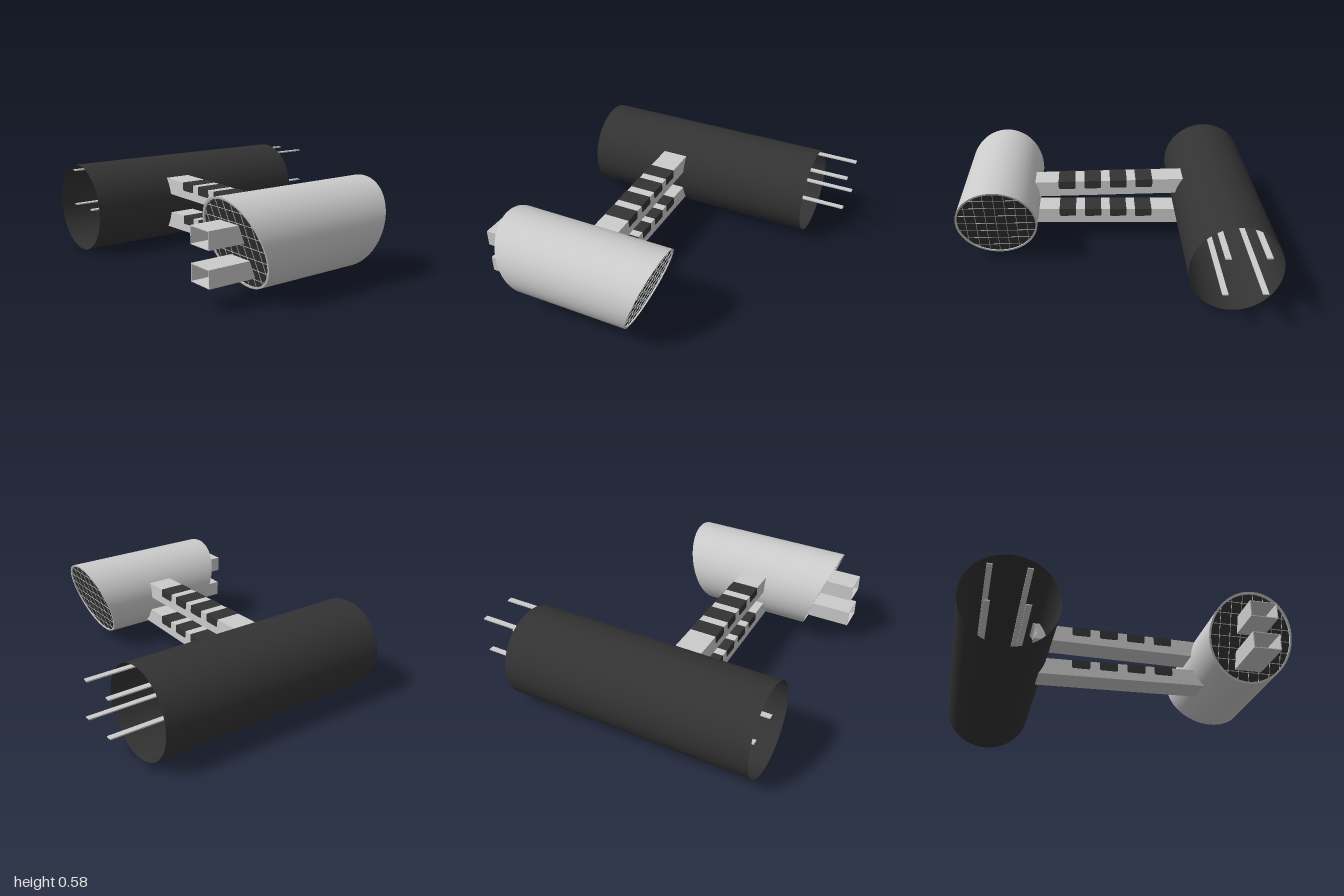
import * as THREE from 'three';

const grey = new THREE.MeshStandardMaterial({ color: 0xcccccc, side: THREE.DoubleSide });
const black = new THREE.MeshStandardMaterial({ color: 0x333333, side: THREE.DoubleSide });

const add = (parent, name, geometry, material) => {
  const mesh = new THREE.Mesh(geometry, material);
  mesh.name = name;
  parent.add(mesh);
  return mesh;
};

// Extrudes a side profile drawn in (z, y) across x0..x1
const extrudeX = (shape, x0, x1) =>
  new THREE.ExtrudeGeometry(shape, { depth: x1 - x0, bevelEnabled: false, curveSegments: 8 })
    .rotateY(-Math.PI / 2)
    .translate(x1, 0, 0);

const rectangle = (path, z0, z1, y0, y1) => {
  path.moveTo(z0, y0).lineTo(z1, y0).lineTo(z1, y1).lineTo(z0, y1).closePath();
  return path;
};

// Short cylinder with slanted ends, each closed by a recessed grille
function createDrum() {
  const drum = new THREE.Group();
  drum.name = 'drum';
  drum.position.set(-0.277, 0.319, 0.737);
  const R = 0.262, inner = 0.25, half = 0.43, slope = 0.354;

  const wall = new THREE.CylinderGeometry(R, R, 2, 64, 1, true).rotateZ(Math.PI / 2);
  const p = wall.attributes.position;
  for (let i = 0; i < p.count; i++) {
    p.setX(i, Math.sign(p.getX(i)) * (half + slope * p.getY(i)));
  }
  add(drum, 'drumWall', wall, grey);

  const shear = new THREE.Matrix4().makeShear(0, 0, slope, 0, 0, 0);
  for (const side of [1, -1]) {
    const end = new THREE.Group();
    end.name = side > 0 ? 'leftEnd' : 'rightEnd';
    if (side < 0) end.rotation.y = Math.PI;
    drum.add(end);
    const slanted = (name, geometry, x, material) =>
      add(end, name, geometry.translate(x, 0, 0).applyMatrix4(shear), material);

    slanted('rim', new THREE.RingGeometry(inner, R, 64).rotateY(Math.PI / 2), half, grey);
    slanted('rimInside', new THREE.CylinderGeometry(inner, inner, 0.01, 64, 1, true).rotateZ(Math.PI / 2), half - 0.005, grey);
    slanted('grillePlate', new THREE.CircleGeometry(inner, 64).rotateY(Math.PI / 2), half - 0.01, black);
    for (let i = -3; i <= 3; i++) {
      const offset = i * 0.065;
      const length = 2 * Math.sqrt(inner * inner - offset * offset);
      slanted('grilleBar', new THREE.BoxGeometry(0.004, length, 0.003).translate(0, 0, offset), half - 0.009, grey);
      slanted('grilleBar', new THREE.BoxGeometry(0.004, 0.003, length).translate(0, offset, 0), half - 0.009, grey);
    }
  }
  return drum;
}

// Arm with a hollowed rear end and four pads over its top edge;
// front and rear give the bottom height at each end
function createArm(name, front, rear) {
  const arm = new THREE.Group();
  arm.name = name;
  const height = 0.103, z0 = 0.62, z1 = -0.53;
  const bottom = z => rear + (front - rear) * (z - z1) / (0.49 - z1);
  const top = z => bottom(z) + height;

  const profile = new THREE.Shape();
  profile.moveTo(z0, bottom(z0));
  profile.lineTo(z0, top(z0));
  profile.lineTo(z1 - 0.003, top(z1));
  profile.quadraticCurveTo(z1 + 0.045, rear + height * 0.5, z1 + 0.005, rear);
  profile.closePath();
  add(arm, 'armBeam', extrudeX(profile, -0.365, -0.195), grey);

  for (let i = 0; i < 4; i++) {
    const a = -0.285 + i * 0.173, b = a + 0.113, r = 0.012;
    const low = top((a + b) / 2) - 0.052;
    const pad = new THREE.Shape();
    pad.moveTo(a, top(a) + 0.002);
    pad.lineTo(a, low + r);
    pad.quadraticCurveTo(a, low, a + r, low);
    pad.lineTo(b - r, low);
    pad.quadraticCurveTo(b, low, b, low + r);
    pad.lineTo(b, top(b) + 0.002);
    pad.closePath();
    add(arm, 'armPad', extrudeX(pad, -0.367, -0.193), black);
  }
  return arm;
}

export function createModel() {
  const model = new THREE.Group();
  model.name = 'model';

  // Long open tube
  const tube = add(model, 'tube',
    new THREE.CylinderGeometry(0.283, 0.283, 1.58, 64, 1, true).rotateZ(Math.PI / 2), black);
  tube.position.set(-0.11, 0.284, -0.717);

  // Flat rods running through the tube and out of its left end
  for (const y of [0.28, 0.513]) {
    for (const z of [-0.61, -0.837]) {
      const rod = add(model, 'rod', new THREE.BoxGeometry(1.795, 0.008, 0.034), grey);
      rod.position.set(0.0275, y, z);
    }
  }

  model.add(createDrum());
  model.add(createArm('upperArm', 0.335, 0.352));
  model.add(createArm('lowerArm', 0.135, 0.12));

  // Hollow stubs out of the drum's right end
  for (const y of [0.133, 0.336]) {
    const section = rectangle(new THREE.Shape(), 0.65, 0.816, y, y + 0.102);
    section.holes.push(rectangle(new THREE.Path(), 0.655, 0.811, y + 0.005, y + 0.097));
    add(model, 'stub', extrudeX(section, -0.927, -0.5), grey);
  }
  return model;
}
